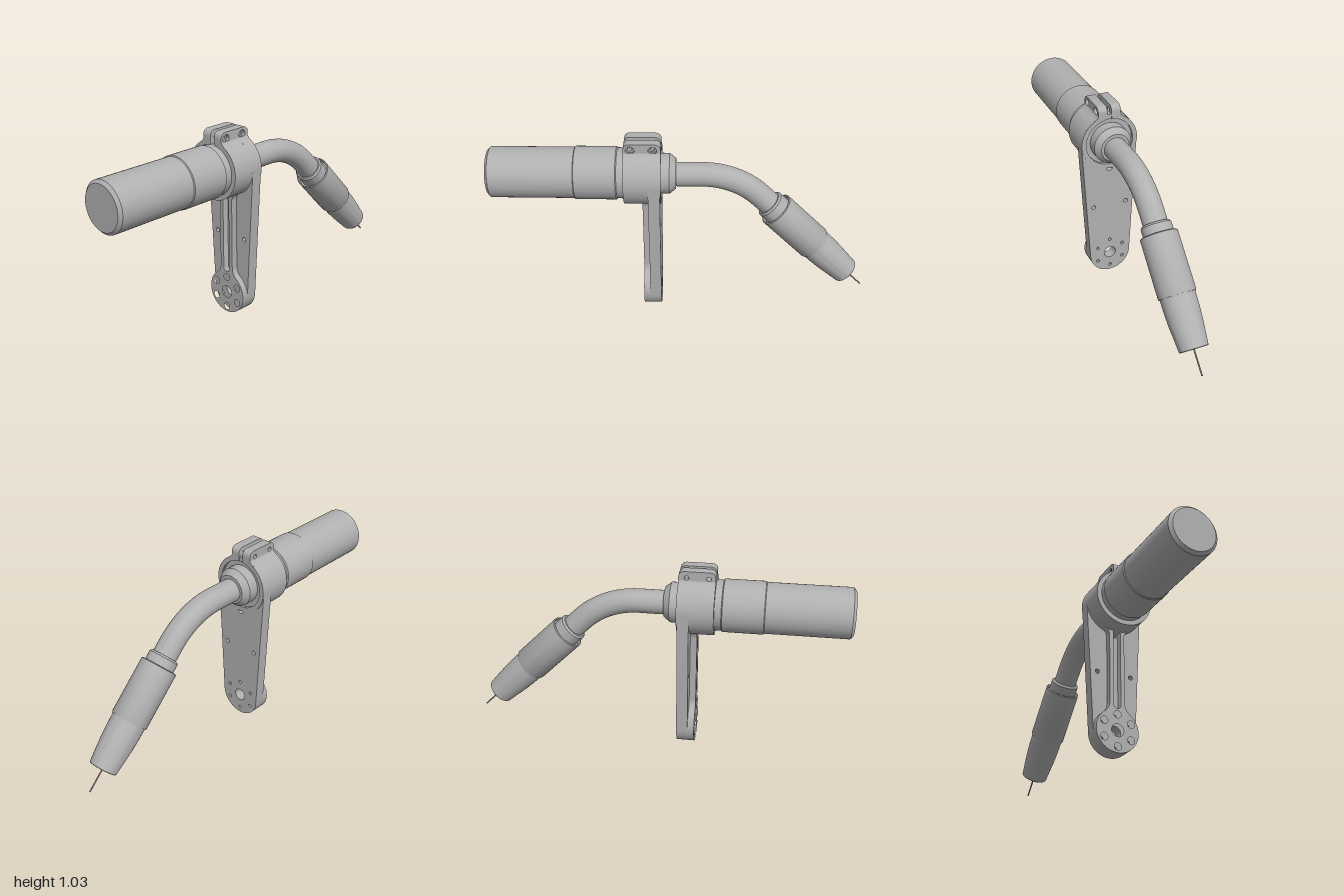
import * as THREE from 'three';
import { toCreasedNormals } from 'three/addons/utils/BufferGeometryUtils.js';

const AXIS_Y = 0.83, BOSS_Y = 0.12;

export function createModel() {
  const model = new THREE.Group();
  const grey = new THREE.MeshStandardMaterial({ color: 0xb0b0b0 });
  grey.name = 'satin grey';

  const add = (name, geometry, parent = model) => {
    const mesh = new THREE.Mesh(toCreasedNormals(geometry, 0.5), grey);
    mesh.name = name;
    parent.add(mesh);
    return mesh;
  };
  const lathe = (pts) => new THREE.LatheGeometry(pts.map(([r, s]) => new THREE.Vector2(r, s)), 56);
  const extrude = (shape, z0, z1) => new THREE.ExtrudeGeometry(shape, {
    depth: z1 - z0, bevelEnabled: false, curveSegments: 32,
  }).translate(0, 0, z0);
  const hole = (shape, x, y, r) => shape.holes.push(new THREE.Path().absarc(x, y, r, 0, Math.PI * 2, true));
  const boltCircle = (shape, r) => {
    for (let i = 0; i < 6; i++) {
      const a = Math.PI / 6 + i * Math.PI / 3;
      hole(shape, 0.086 * Math.cos(a), BOSS_Y + 0.086 * Math.sin(a), r);
    }
  };

  // Torch body, turned about the z axis
  add('torchBody', lathe([
    [0, 0.035], [0.078, 0.035], [0.105, 0.068], [0.105, 0.125], [0.131, 0.125],
    [0.131, 0.335], [0.137, 0.34], [0.137, 0.55], [0.132, 0.554], [0.132, 0.985],
    [0.116, 1], [0, 1],
  ]).rotateX(Math.PI / 2).translate(0, AXIS_Y, 0));

  // Bent neck: straight, 45 degree bend, straight
  const neck = new THREE.CurvePath();
  const bendStart = new THREE.Vector3(0, 0.826, -0.1);
  const R = 0.43, pts = [new THREE.Vector3(0, 0.826, 0.05), new THREE.Vector3(0, 0.826, -0.02)];
  for (let i = 0; i <= 10; i++) {
    const a = (i / 10) * Math.PI / 4;
    pts.push(new THREE.Vector3(0, bendStart.y - R * (1 - Math.cos(a)), bendStart.z - R * Math.sin(a)));
  }
  pts.push(new THREE.Vector3(0, 0.625, -0.479));
  for (let i = 1; i < pts.length; i++) neck.add(new THREE.LineCurve3(pts[i - 1], pts[i]));
  add('neckTube', new THREE.TubeGeometry(new THREE.CatmullRomCurve3(pts), 64, 0.063, 40));

  // Nozzle assembly, pointing down and back at 45 degrees
  const nozzle = new THREE.Group();
  nozzle.name = 'nozzle';
  nozzle.position.set(0, 0.615, -0.489);
  nozzle.rotation.x = -Math.PI * 0.75;
  model.add(nozzle);
  add('collar', lathe([[0.06, -0.055], [0.07, -0.055], [0.078, -0.045], [0.078, 0.03]]), nozzle);
  add('sleeve', lathe([
    [0.07, 0.02], [0.087, 0.02], [0.09, 0], [0.096, 0.004], [0.096, 0.303], [0.093, 0.309], [0.08, 0.309],
  ]), nozzle);
  add('gasCup', lathe([
    [0.08, 0.3], [0.089, 0.309], [0.088, 0.38], [0.085, 0.44], [0.073, 0.572], [0.07, 0.575], [0, 0.575],
  ]), nozzle);
  add('wire', new THREE.CylinderGeometry(0.004, 0.004, 0.14, 10).translate(0, 0.635, 0), nozzle);

  // Tapered back plate: hull of the clamp circle and the boss circle
  const rTop = 0.157, rBoss = 0.118;
  const tilt = -Math.asin((rTop - rBoss) / (AXIS_Y - BOSS_Y));
  const plate = new THREE.Shape();
  plate.absarc(0, AXIS_Y, rTop, tilt, Math.PI - tilt, false);
  plate.absarc(0, BOSS_Y, rBoss, Math.PI - tilt, Math.PI * 2 + tilt, false);
  plate.closePath();
  // Clamp bore joined with the small keyway below it
  const bore = new THREE.Path();
  const key = Math.asin(0.018 / 0.131);
  bore.absarc(0, AXIS_Y, 0.131, -Math.PI / 2 + key, Math.PI * 1.5 - key, false);
  bore.lineTo(-0.018, 0.67);
  bore.absarc(0, 0.67, 0.018, Math.PI, Math.PI * 2, false);
  bore.closePath();
  plate.holes.push(bore);
  hole(plate, 0, BOSS_Y, 0.034);
  for (const s of [-1, 1]) hole(plate, s * 0.095, 0.44, 0.012);
  boltCircle(plate, 0.009);
  add('armPlate', extrude(plate, 0.115, 0.175));

  // Raised rib flowing into the round mounting boss
  const rib = new THREE.Shape();
  const a0 = THREE.MathUtils.degToRad(50);
  const bx = rBoss * Math.cos(a0), by = BOSS_Y + rBoss * Math.sin(a0);
  rib.moveTo(0.09, 0.705);
  rib.quadraticCurveTo(0.042, 0.685, 0.042, 0.645);
  rib.lineTo(0.042, 0.27);
  rib.quadraticCurveTo(0.042, 0.235, bx, by);
  rib.absarc(0, BOSS_Y, rBoss, a0, Math.PI - a0, true);
  rib.quadraticCurveTo(-0.042, 0.235, -0.042, 0.27);
  rib.lineTo(-0.042, 0.645);
  rib.quadraticCurveTo(-0.042, 0.685, -0.09, 0.705);
  rib.closePath();
  const slot = new THREE.Path();
  slot.absarc(0, 0.258, 0.02, Math.PI, Math.PI * 2, false);
  slot.lineTo(0.02, 0.695);
  slot.lineTo(-0.02, 0.695);
  slot.closePath();
  rib.holes.push(slot);
  hole(rib, 0, BOSS_Y, 0.034);
  boltCircle(rib, 0.02);
  add('ribAndBoss', extrude(rib, 0.175, 0.21));

  // Split clamp ring, open at the top
  const ring = new THREE.Shape();
  const a1 = THREE.MathUtils.degToRad(51), g = Math.asin(0.012 / 0.132);
  ring.moveTo(0.012, 0.974);
  ring.lineTo(0.0615, 0.974);
  ring.lineTo(0.0615, 0.986);
  ring.quadraticCurveTo(0.065, 0.972, rTop * Math.cos(a1), AXIS_Y + rTop * Math.sin(a1));
  ring.absarc(0, AXIS_Y, rTop, a1, Math.PI - a1, true);
  ring.quadraticCurveTo(-0.065, 0.972, -0.0615, 0.986);
  ring.lineTo(-0.0615, 0.974);
  ring.lineTo(-0.012, 0.974);
  ring.absarc(0, AXIS_Y, 0.132, Math.PI / 2 + g, Math.PI * 2.5 - g, false);
  ring.closePath();
  add('clampRing', extrude(ring, 0.11, 0.3));

  // Clamp ears with two cross holes, counterbored on the +x side
  const ear = (name, x0, x1, r) => {
    const s = new THREE.Shape();
    s.moveTo(-0.3, 0.965);
    s.lineTo(-0.11, 0.965);
    s.absarc(-0.14, 1.003, 0.03, 0, Math.PI / 2, false);
    s.absarc(-0.27, 1.003, 0.03, Math.PI / 2, Math.PI, false);
    s.closePath();
    for (const z of [0.265, 0.152]) hole(s, -z, 0.998, r);
    add(name, extrude(s, x0, x1).rotateY(Math.PI / 2));
  };
  ear('clampEarRight', -0.062, -0.012, 0.012);
  ear('clampEarLeft', 0.012, 0.042, 0.012);
  ear('clampEarCounterbore', 0.042, 0.062, 0.022);

  return model;
}
